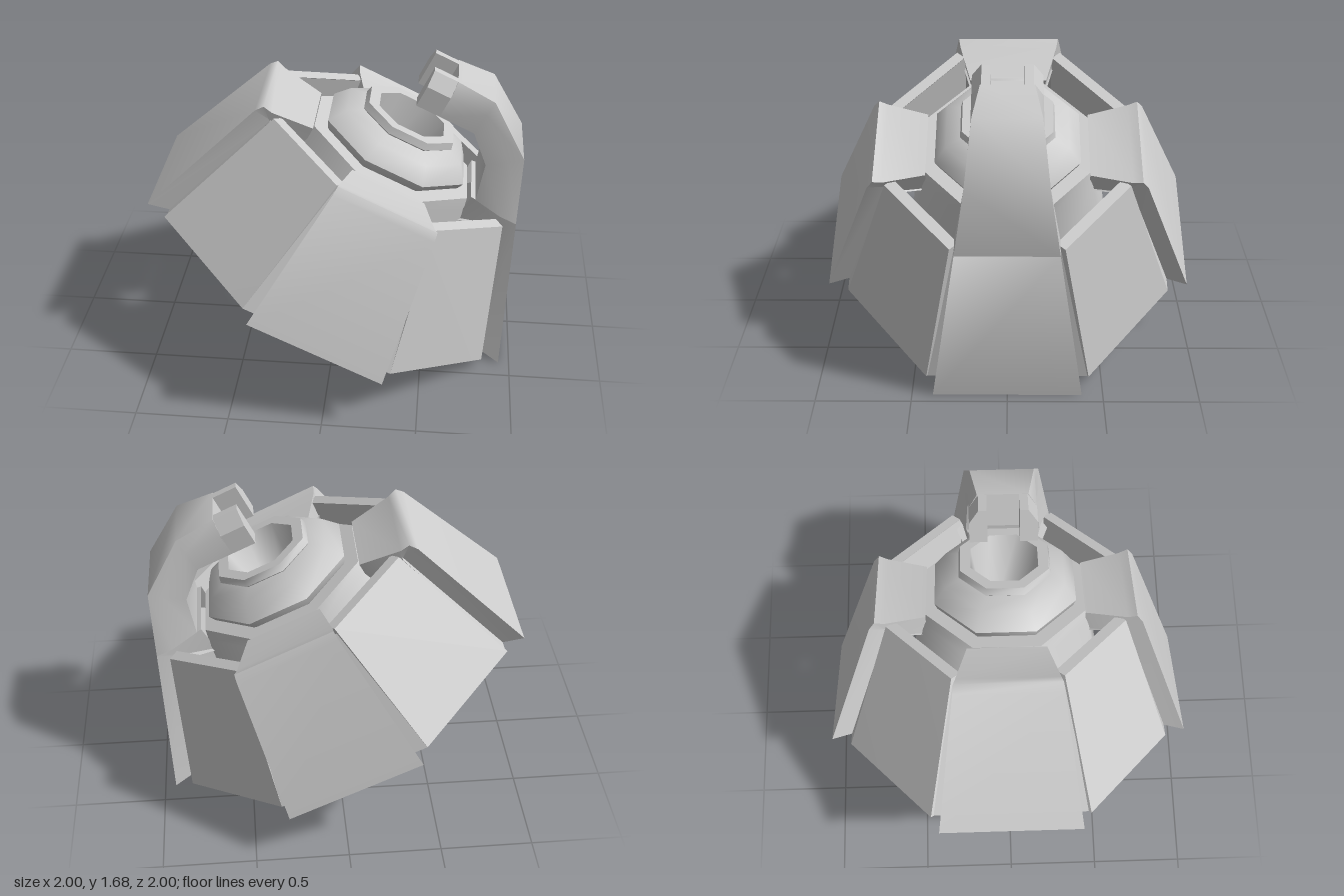
import * as THREE from 'three';
import { toCreasedNormals } from 'three/addons/utils/BufferGeometryUtils.js';

const grey = new THREE.MeshStandardMaterial({ color: 0xcccccc, side: THREE.DoubleSide });

function addMesh(parent, name, geometry, crease) {
  const mesh = new THREE.Mesh(toCreasedNormals(geometry, crease), grey);
  mesh.name = name;
  parent.add(mesh);
  return mesh;
}

// Skins a row of cross-sections; a solid one is closed around and capped
function loft(sections, solid = true) {
  const n = sections[0].length, index = [];
  for (let s = 0; s < sections.length - 1; s++) {
    for (let i = 0; i < (solid ? n : n - 1); i++) {
      const a = s * n + i, b = s * n + (i + 1) % n;
      index.push(a, b, b + n, a, b + n, a + n);
    }
  }
  if (solid) {
    const last = (sections.length - 1) * n;
    for (let i = 1; i < n - 1; i++) index.push(0, i + 1, i, last, last + i, last + i + 1);
  }
  const geometry = new THREE.BufferGeometry();
  geometry.setAttribute('position', new THREE.Float32BufferAttribute(sections.flat(2), 3));
  geometry.setIndex(index);
  return geometry;
}

// Outer face, undercut flanges and a shelf reaching the corner panels;
// rows are [radius, height, half width]
function armourPanel(parent, name, outer, inner, angle, stretch = 1) {
  const sections = outer.map(([r, y, w], i) => {
    const [ri, yi, shelf] = inner[i], z = r * stretch, zi = ri * stretch, wi = w * 0.9;
    return [[-shelf, yi, zi], [-wi, yi, zi], [-w, y, z], [w, y, z], [wi, yi, zi], [shelf, yi, zi]];
  });
  addMesh(parent, name, loft(sections, false), 1.2).rotation.y = angle;
}

export function createModel() {
  const model = new THREE.Group();
  model.name = 'hookedDome';
  const body = new THREE.Group();
  body.name = 'tiltedBody';
  body.position.set(-0.03, 0.47, 0);
  body.rotation.z = -0.451;
  model.add(body);

  // Octagonal core: collar, dome, rim, flared skirt and tapering bore
  const profile = [
    [0.18, 0.98], [0.235, 0.98], [0.245, 0.94], [0.235, 0.93], [0.32, 0.90],
    [0.38, 0.81], [0.365, 0.77], [0.35, 0.755], [0.43, 0.755], [0.445, 0.69],
    [0.55, 0.06], [0.48, 0.06], [0.43, 0.56], [0.11, 0.56], [0.18, 0.98],
  ].map(([r, y]) => new THREE.Vector2(r / Math.cos(Math.PI / 8), y));
  const core = new THREE.LatheGeometry(profile, 8);
  core.deleteAttribute('uv');
  core.rotateY(Math.PI / 8);
  core.scale(1.07, 1, 1);
  addMesh(body, 'core', core, 0.9);

  // Three raised panels, each bending over into a strut
  const outer = [[1, 0, 0.385], [0.73, 0.745, 0.285], [0.7, 0.785, 0.28], [0.65, 0.768, 0.27], [0.43, 0.755, 0.21]];
  const inner = [[0.89, 0, 0.425], [0.64, 0.72, 0.285], [0.63, 0.7, 0.27], [0.6, 0.66, 0.255], [0.43, 0.62, 0.2]];
  armourPanel(body, 'leftPanel', outer, inner, 0);
  armourPanel(body, 'rightPanel', outer, inner, Math.PI);
  armourPanel(body, 'rearPanel', outer, inner, -Math.PI / 2, 1.078);

  // Panel that carries the hook
  armourPanel(body, 'hookPanel',
    [[1.078, 0, 0.39], [0.744, 0.785, 0.264], [0.47, 0.785, 0.2]],
    [[0.965, 0, 0.43], [0.67, 0.72, 0.29], [0.47, 0.62, 0.2]], Math.PI / 2);

  // Four recessed corner panels, each with a well behind its rim
  for (const sx of [-1, 1]) {
    for (const sz of [-1, 1]) {
      const place = (y, points) => points.map(([x, z]) => [x * sx, y, z * sz]);
      const rim = [[0.235, 0.595], [0.64, 0.245]];
      addMesh(body, 'cornerPanel', loft([
        place(0, [[0.97, 0.43], [0.425, 0.89], [0.41, 0.87], [0.955, 0.41]]),
        place(0.752, [[0.68, 0.29], [0.275, 0.64], ...rim]),
      ]), 0.3);
      addMesh(body, 'cornerWell', loft([
        place(0.75, rim), place(0.25, rim), place(0.25, [[0.15, 0.42], [0.47, 0.15]]),
      ], false), 0.3);
    }
  }

  // Hook arm; rows are outer x, y, half width, then inner x, y, half width
  const arm = [
    [0.744, 0.785, 0.264, 0.497, 0.785, 0.21],
    [0.6, 1.124, 0.21, 0.442, 0.992, 0.195],
    [0.312, 1.329, 0.172, 0.3, 1.123, 0.18],
    [0.095, 1.327, 0.135, 0.095, 1.123, 0.18],
  ].map(([x, y, w, xi, yi, wi]) => {
    // a mid point bevels the shoulders towards the tip
    const xm = x + (xi - x) * 0.4, ym = y + (yi - y) * 0.4, wm = Math.max(w, wi);
    return [[xi, yi, -wi], [xm, ym, -wm], [x, y, -w], [x, y, w], [xm, ym, wm], [xi, yi, wi]];
  });
  addMesh(body, 'hookArm', loft(arm), 0.9);

  // Forked tip
  for (const s of [-1, 1]) {
    const prong = [0.1, -0.042].map((x) => [
      [x, 1.123, 0.085 * s], [x, 1.325, 0.085 * s], [x, 1.325, 0.13 * s], [x, 1.245, 0.18 * s], [x, 1.123, 0.18 * s],
    ]);
    addMesh(body, 'hookProng', loft(prong), 0.3);
  }

  return model;
}
